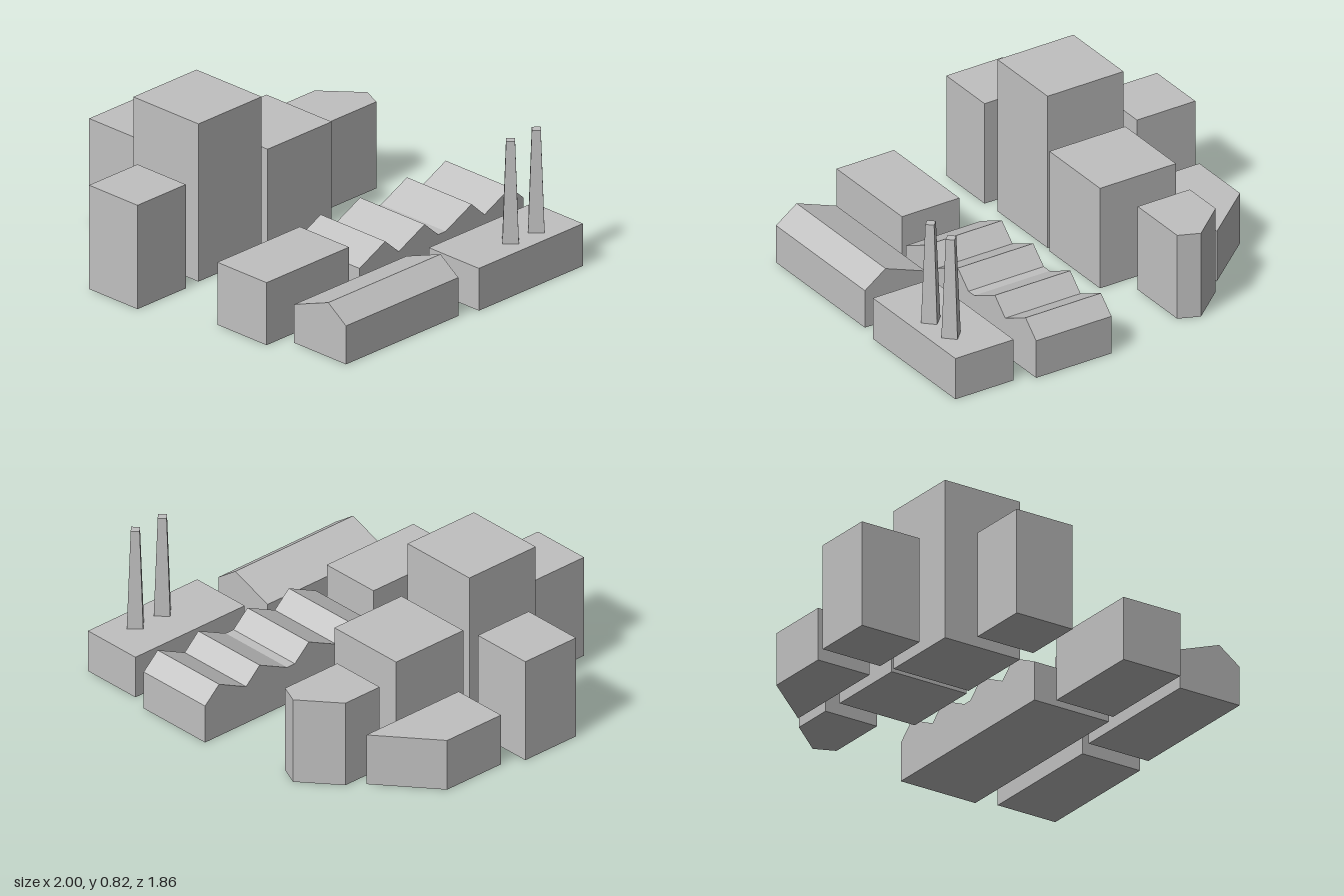
import * as THREE from 'three';

export function createModel() {
  const town = new THREE.Group();
  town.name = 'industrialBlock';
  const grey = new THREE.MeshStandardMaterial({ color: 0xc0c0c0 });
  grey.name = 'concreteGrey';

  const add = (name, geometry) => {
    const mesh = new THREE.Mesh(geometry, grey);
    mesh.name = name;
    town.add(mesh);
    return mesh;
  };
  const extrude = (points, depth) => new THREE.ExtrudeGeometry(
    new THREE.Shape(points.map(([x, y]) => new THREE.Vector2(x, y))),
    { depth, bevelEnabled: false });

  // Flat-roofed blocks: x range, z range, height
  const block = (name, x0, x1, z0, z1, h) =>
    add(name, new THREE.BoxGeometry(x1 - x0, h, z1 - z0))
      .position.set((x0 + x1) / 2, h / 2, (z0 + z1) / 2);
  block('midBlock', -0.59, -0.16, -0.38, 0.05, 0.54);
  block('tower', -0.6, -0.17, 0.08, 0.505, 0.82);
  block('frontBlock', -0.48, -0.16, 0.6, 0.925, 0.54);
  block('sideBlock', -1, -0.67, 0.07, 0.395, 0.54);
  block('warehouse', 0.23, 0.555, 0.23, 0.785, 0.325);
  block('powerHouse', 0.67, 1, -0.89, -0.19, 0.22);

  // Blocks with cut corners: floor plan as x, z
  const planBlock = (name, plan, h) =>
    add(name, extrude(plan.map(([x, z]) => [x, -z]), h).rotateX(-Math.PI / 2));
  planBlock('lowCornerBlock',
    [[-0.95, -0.04], [-0.655, -0.04], [-0.655, -0.63], [-0.95, -0.385]], 0.27);
  planBlock('tallCornerBlock',
    [[-0.595, -0.49], [-0.3, -0.49], [-0.3, -0.825], [-0.405, -0.87], [-0.595, -0.71]], 0.45);

  // Factory with four sawtooth roofs: section as z, y
  const eave = 0.2, ridge = 0.283;
  const section = [[-0.93, 0], [0.174, 0], [0.174, eave], [0, ridge], [-0.09, eave],
    [-0.265, ridge], [-0.355, eave], [-0.405, eave], [-0.58, ridge], [-0.667, eave],
    [-0.84, ridge], [-0.93, eave]];
  add('sawtoothFactory', extrude(section.map(([z, y]) => [-z, y]), 0.427).rotateY(Math.PI / 2))
    .position.x = 0.142;

  // Shed with an off-centre gable
  add('gabledShed', extrude(
    [[0.63, 0], [0.972, 0], [0.972, 0.2], [0.855, 0.283], [0.63, 0.2]], 0.755))
    .position.z = -0.08;

  // Tapered four-sided chimneys
  for (const z of [-0.688, -0.515]) {
    const chimney = new THREE.CylinderGeometry(0.03, 0.055, 0.525, 4).toNonIndexed();
    chimney.computeVertexNormals();
    add('chimney', chimney).position.set(0.89, 0.4825, z);
  }
  return town;
}
